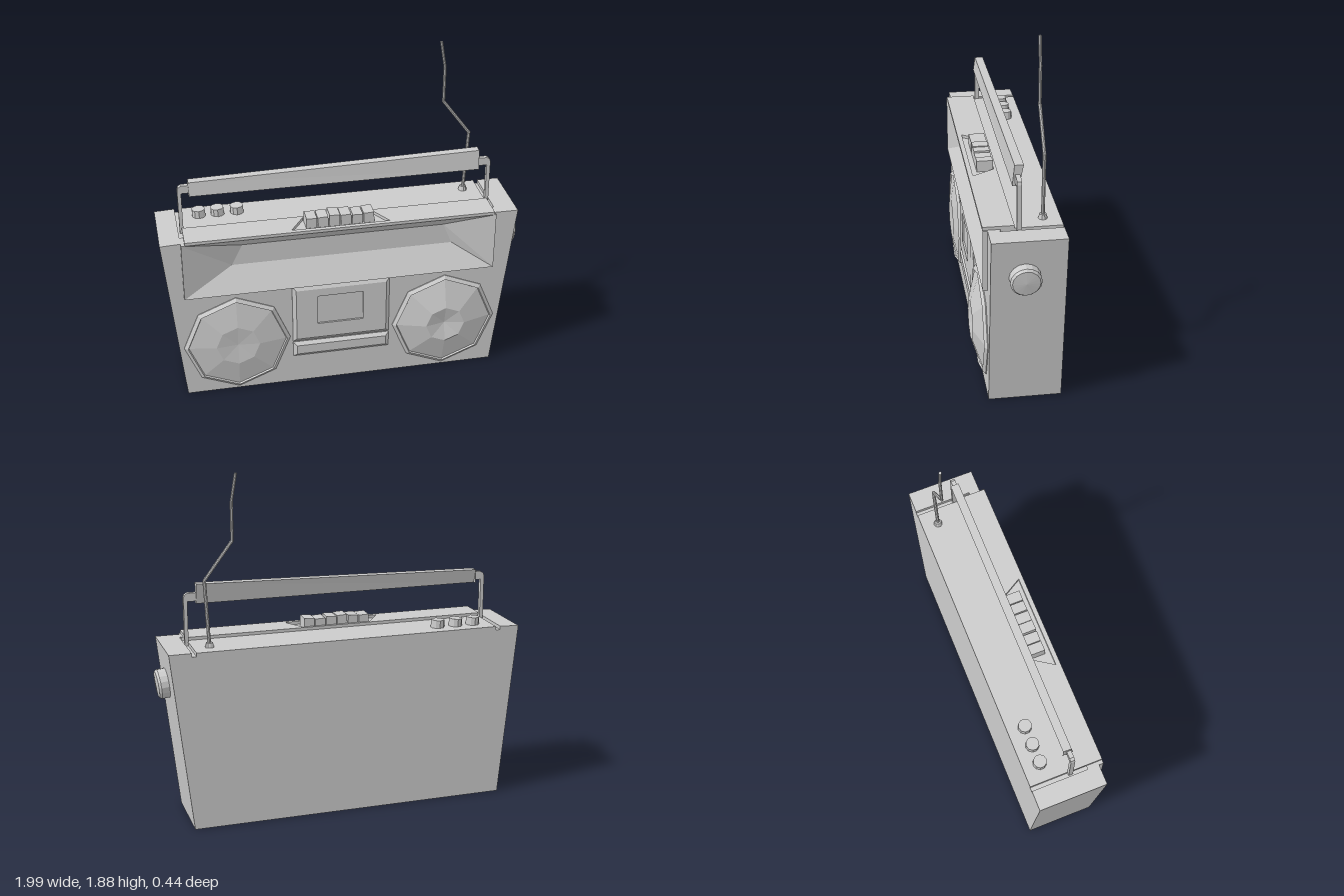
import * as THREE from 'three';

const mat = new THREE.MeshStandardMaterial({ color: 0xcccccc, flatShading: true, side: THREE.DoubleSide });

export function createModel() {
  const root = new THREE.Group();
  root.name = 'portableStereo';

  const add = (name, geo, x = 0, y = 0, z = 0) => {
    const m = new THREE.Mesh(geo, mat);
    m.name = name;
    m.position.set(x, y, z);
    root.add(m);
    return m;
  };
  const box = (name, x0, x1, y0, y1, z0, z1) =>
    add(name, new THREE.BoxGeometry(x1 - x0, y1 - y0, z1 - z0), (x0 + x1) / 2, (y0 + y1) / 2, (z0 + z1) / 2);
  const shape = (pts) => new THREE.Shape(pts.map(([x, y]) => new THREE.Vector2(x, y)));
  const extrude = (s, depth) => new THREE.ExtrudeGeometry(s, { depth, bevelEnabled: false });

  // Four-cornered rings, counter-clockwise from the front, joined in order; last one is closed
  const rect = (x0, x1, y0, y1, z) => [[x0, y0, z], [x1, y0, z], [x1, y1, z], [x0, y1, z]];
  const loft = (rings) => {
    const idx = [];
    for (let i = 0; i < rings.length - 1; i++)
      for (let j = 0; j < 4; j++) {
        const k = (j + 1) % 4, a = i * 4, b = a + 4;
        idx.push(a + j, a + k, b + k, a + j, b + k, b + j);
      }
    const e = (rings.length - 1) * 4;
    idx.push(e, e + 1, e + 2, e, e + 2, e + 3);
    const g = new THREE.BufferGeometry();
    g.setAttribute('position', new THREE.Float32BufferAttribute(rings.flat(2), 3));
    g.setIndex(idx);
    g.computeVertexNormals();
    return g;
  };

  // Tapered case: back part with two grooves in the top for the handle arms
  const top = 0.975, L = -0.89, R = 0.825;
  add('caseBack', extrude(shape([
    [-0.905, 0], [0.845, 0], [0.955, top],
    [R + 0.01, top], [R + 0.01, top - 0.02], [R - 0.015, top - 0.02], [R - 0.015, top],
    [L + 0.025, top], [L + 0.025, top - 0.02], [L, top - 0.02], [L, top], [-1, top - 0.005],
  ]), 0.32), 0, 0, -0.215);

  // Front part of the case, open at the top for the display panel
  add('caseFront', extrude(shape([
    [-0.905, 0], [0.845, 0], [0.955, top], [R, top], [R, 0.64], [L, 0.64], [L, top], [-1, top - 0.005],
  ]), 0.06), 0, 0, 0.105);

  // Upper panel with a sloped recess
  add('upperPanel', loft([
    rect(L, R, 0.64, top, 0.1),
    rect(L, R, 0.64, top, 0.19),
    [[-0.62, 0.78, 0.11], [0.6, 0.78, 0.11], [0.55, 0.9, 0.11], [-0.56, 0.9, 0.11]],
  ]));

  // Raised deck with a tray for the buttons
  const deck = shape([[L + 0.02, -0.19], [R - 0.01, -0.19], [R - 0.01, -0.03], [L + 0.02, -0.03]]);
  deck.holes.push(shape([[-0.3, -0.165], [-0.22, -0.045], [0.165, -0.045], [0.235, -0.165]]));
  add('topDeck', extrude(deck, 0.017).rotateX(-Math.PI / 2), 0, top, 0);

  // Row of tape buttons
  [1.032, 1.034, 1.04, 1.036, 1.03, 1.035].forEach((h, i) => {
    const x = -0.215 + i * 0.0627;
    box('tapeButton', x, x + 0.057, 0.97, h, 0.048, 0.135).rotation.z = (i % 2 ? 1 : -1) * 0.04;
  });

  // Eight-sided speakers: rim, raised cone and a dished centre
  const speaker = (name, x, r, z, dip) => {
    const profile = [[0.295, 0.15], [0.295, 0.17], [0.275, 0.185], [0.27, 0.176], [r, z], [0, z - dip]];
    const g = new THREE.LatheGeometry(profile.map(([a, b]) => new THREE.Vector2(a, b)), 8);
    add(name, g.rotateX(Math.PI / 2), x, 0.31, 0);
  };
  speaker('rightSpeaker', -0.615, 0.12, 0.202, 0.012);
  speaker('leftSpeaker', 0.555, 0.11, 0.224, 0.025);

  // Cassette door with sunken window, and the bevelled bar beneath it
  add('cassetteDoor', loft([
    rect(-0.305, 0.24, 0.27, 0.635, 0.16),
    rect(-0.305, 0.24, 0.275, 0.635, 0.168),
    rect(-0.285, 0.22, 0.295, 0.612, 0.182),
    rect(-0.165, 0.09, 0.385, 0.565, 0.182),
    rect(-0.165, 0.09, 0.385, 0.565, 0.172),
  ]));
  add('cassetteBar', loft([
    rect(-0.305, 0.24, 0.173, 0.268, 0.16),
    rect(-0.305, 0.24, 0.175, 0.266, 0.168),
    rect(-0.285, 0.22, 0.195, 0.25, 0.184),
  ]));

  // Control knobs on top
  for (const x of [-0.765, -0.663, -0.557])
    add('controlKnob', new THREE.CylinderGeometry(0.036, 0.038, 0.05, 10), x, 0.992, -0.12).rotation.z = 0.05;

  // Tuning dial, square to the leaning side wall, with a shallow cone face
  const dial = new THREE.LatheGeometry(
    [[0.08, -0.03], [0.08, 0.04], [0.07, 0.052], [0, 0.058]].map(([a, b]) => new THREE.Vector2(a, b)), 16);
  add('tuningDial', dial, 0.934, 0.765, -0.005).rotation.z = -(Math.PI / 2 + 0.113);

  // Handle: a slanted grip that is deeper at its left end, on two bent arms
  const end = (x, h) => [[x, 1.18, 0.035], [x, 1.18, 0], [x, h, -0.022], [x, h, 0.024]];
  add('handleGrip', loft([end(-0.82, 1.18), end(-0.82, 1.257), end(0.76, 1.29)]));
  box('handleGripEnd', -0.822, -0.818, 1.182, 1.25, -0.005, 0.022);
  const arm = (name, x, s) => {
    const a = shape([
      [0, 0.955], [0.02, 0.955], [0.02, 1.195], [0.075, 1.195], [0.075, 1.24], [0.02, 1.24], [0.005, 1.23], [0, 1.215],
    ].map(([u, v]) => [x + s * u, v]));
    add(name, extrude(a, 0.024), 0, 0, -0.003);
  };
  arm('rightHandleArm', -0.88, 1);
  arm('leftHandleArm', 0.828, -1);

  // Bent aerial on a small round base
  const path = [[0.722, 0.97], [0.741, 1.33], [0.59, 1.53], [0.59, 1.73], [0.565, 1.875]]
    .map(([x, y]) => new THREE.Vector3(x, y, -0.125));
  for (let i = 0; i < path.length - 1; i++) {
    const d = path[i + 1].clone().sub(path[i]);
    const r = 0.0095 - i * 0.0005;
    const m = add('aerialSection', new THREE.CylinderGeometry(r, r, d.length() + 0.004, 8));
    m.position.copy(path[i]).addScaledVector(d, 0.5);
    m.quaternion.setFromUnitVectors(new THREE.Vector3(0, 1, 0), d.normalize());
  }
  add('aerialBase', new THREE.CylinderGeometry(0.018, 0.025, 0.03, 10), 0.722, 0.985, -0.125);

  return root;
}
